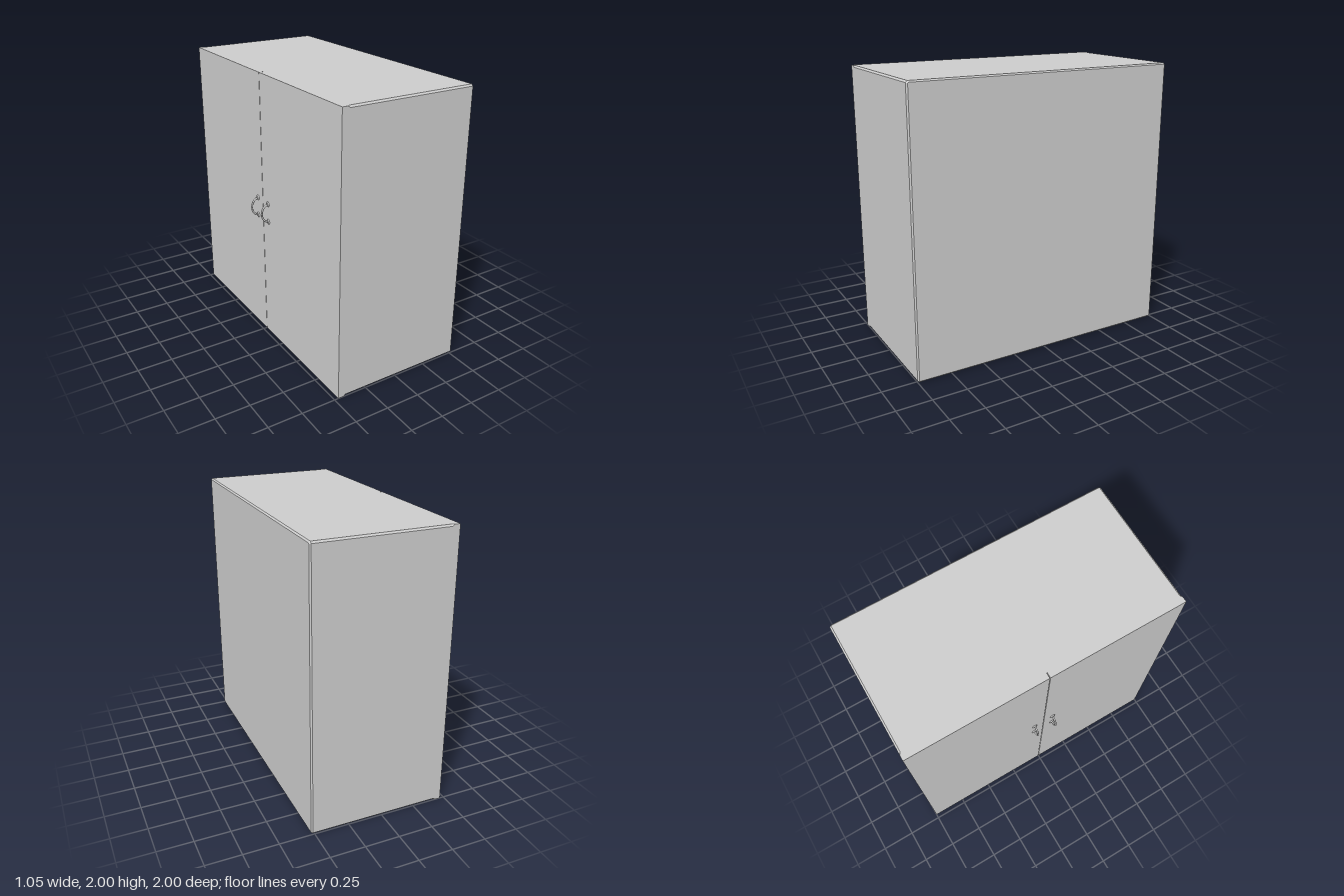
import * as THREE from 'three';

const mat = new THREE.MeshStandardMaterial({ color: 0xcccccc });
const flatMat = new THREE.MeshStandardMaterial({ color: 0xcccccc, flatShading: true });

function add(parent, geometry, name, x = 0, y = 0, z = 0, material = mat) {
  const mesh = new THREE.Mesh(geometry, material);
  mesh.name = name;
  mesh.position.set(x, y, z);
  parent.add(mesh);
  return mesh;
}

// Box lofted along x from eight-sided sections [x, half size, corner cut]
function loftedCase(sections) {
  const pos = [], idx = [];
  for (const [x, h, c] of sections) {
    const k = h - c;
    for (const [y, z] of [[k, h], [h, k], [h, -k], [k, -h], [-k, -h], [-h, -k], [-h, k], [-k, h]])
      pos.push(x, y, z);
  }
  for (let s = 0; s < sections.length - 1; s++)
    for (let i = 0; i < 8; i++) {
      const a = s * 8 + i, b = s * 8 + (i + 1) % 8;
      idx.push(a, a + 8, b, b, a + 8, b + 8);
    }
  const last = (sections.length - 1) * 8;
  for (let i = 1; i < 7; i++) {
    idx.push(0, i, i + 1);
    idx.push(last, last + i + 1, last + i);
  }
  // Face winding: sections run from +z over the top to -z, so swap to face outward
  const p = new THREE.Vector3(), q = new THREE.Vector3(), r = new THREE.Vector3();
  for (let i = 0; i < idx.length; i += 3) {
    p.fromArray(pos, idx[i] * 3);
    q.fromArray(pos, idx[i + 1] * 3);
    r.fromArray(pos, idx[i + 2] * 3);
    const centre = p.clone().add(q).add(r).divideScalar(3);
    if (q.sub(p).cross(r.sub(p)).dot(centre) < 0) [idx[i + 1], idx[i + 2]] = [idx[i + 2], idx[i + 1]];
  }
  const g = new THREE.BufferGeometry();
  g.setAttribute('position', new THREE.Float32BufferAttribute(pos, 3));
  g.setIndex(idx);
  const flat = g.toNonIndexed();
  flat.computeVertexNormals();
  return flat;
}

// Bow handle with two round feet, reaching out along -x
function makeHandle(name) {
  const handle = new THREE.Group();
  handle.name = name;
  const points = [];
  for (let i = 0; i <= 8; i++) {
    const a = (i / 8) * Math.PI;
    points.push(new THREE.Vector3(-0.052 * Math.sin(a), 0.066 * Math.cos(a), 0));
  }
  const curve = new THREE.CatmullRomCurve3(points);
  add(handle, new THREE.TubeGeometry(curve, 10, 0.007, 8), 'handleBow');
  for (const s of [-1, 1]) {
    const foot = add(handle, new THREE.CylinderGeometry(0.013, 0.02, 0.008, 12), 'handleFoot', -0.004, s * 0.068, 0, flatMat);
    foot.rotation.z = Math.PI / 2;
  }
  return handle;
}

export function createModel() {
  const cabinet = new THREE.Group();
  cabinet.name = 'cabinet';

  // Case with chamfered long edges that fade out behind the doors
  add(cabinet, loftedCase([[-0.43, 1, 0.0002], [-0.415, 1, 0.012], [0.512, 1, 0.012], [0.522, 0.99, 0.006]]),
    'case', 0, 1, 0);

  // Pair of doors meeting at a thin gap, each with its handle
  for (const s of [-1, 1]) {
    const side = s > 0 ? 'front' : 'rear';
    add(cabinet, new THREE.BoxGeometry(0.04, 2, 0.998), side + 'Door', -0.45, 1, s * 0.501);
    const handle = makeHandle(side + 'Handle');
    handle.position.set(-0.47, 1, s * 0.075);
    cabinet.add(handle);
  }
  return cabinet;
}
